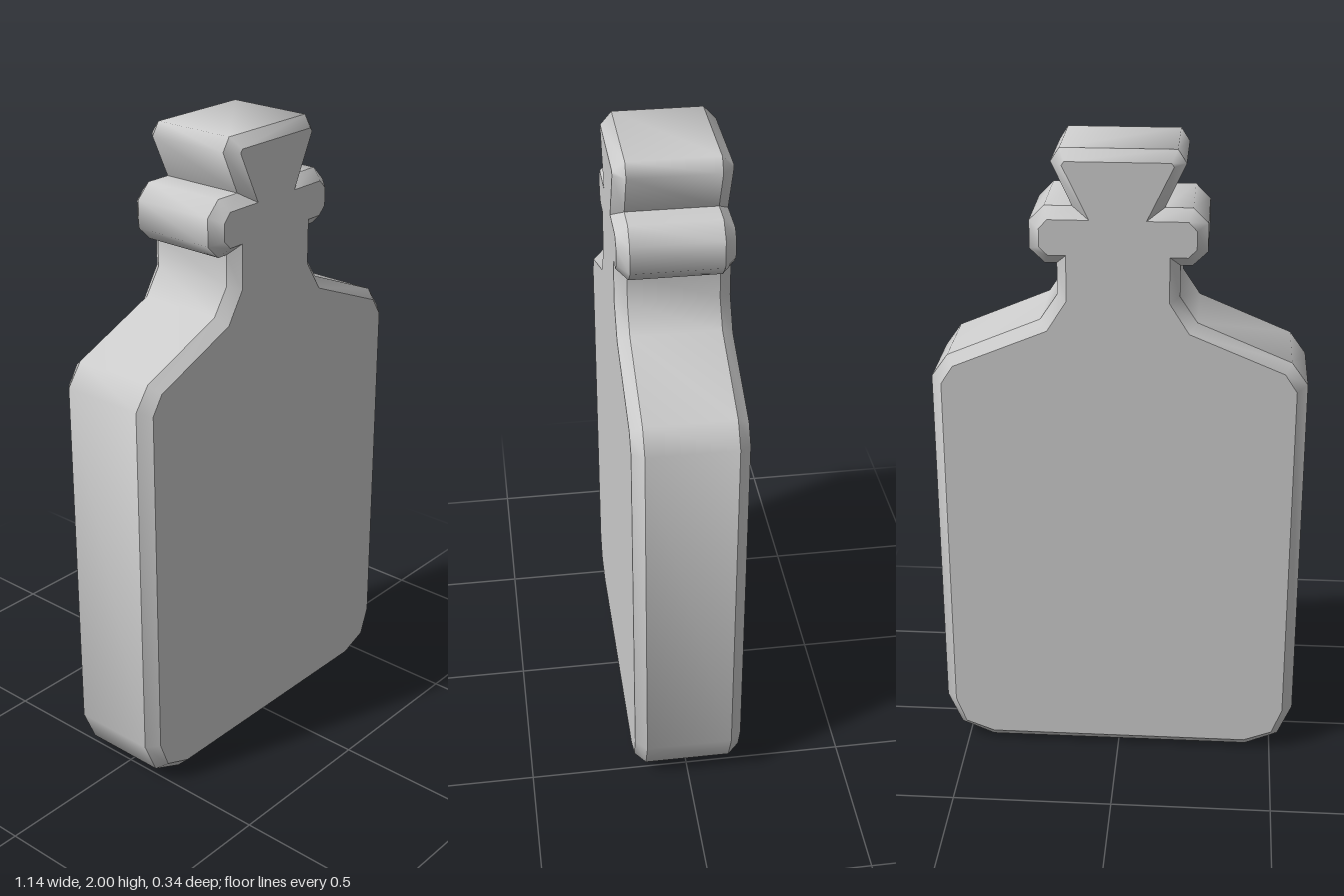
import * as THREE from 'three';
import { mergeGeometries, toCreasedNormals } from 'three/addons/utils/BufferGeometryUtils.js';

// Right half of the silhouette, bottom to top: body, neck, collar, stopper
const OUTER = [
  [0.42, 0], [0.525, 0.045], [0.57, 0.15], [0.57, 1.29], [0.52, 1.36],
  [0.235, 1.48], [0.182, 1.56], [0.182, 1.657],
  [0.217, 1.657], [0.262, 1.70], [0.262, 1.785], [0.217, 1.83], [0.135, 1.83],
  [0.196, 1.96], [0.17, 2],
];
// The same corners on the flat front and back faces
const INNER = [
  [0.415, 0.035], [0.505, 0.07], [0.537, 0.155], [0.537, 1.278], [0.50, 1.335],
  [0.212, 1.455], [0.152, 1.55], [0.152, 1.69],
  [0.205, 1.69], [0.23, 1.715], [0.23, 1.77], [0.205, 1.797], [0.083, 1.797],
  [0.161, 1.957], [0.153, 1.968],
];
const FACE_Z = 0.17;
const RIM_Z = 0.135;

// Full counterclockwise outline from its right half
const mirror = (half) => [...half, ...half.map(([x, y]) => [-x, y]).reverse()];

// Band of quads joining two outlines, smooth along its gentle corners
function band(a, za, b, zb) {
  const pos = [];
  a.forEach((p, i) => {
    const j = (i + 1) % a.length;
    const A = [...p, za], B = [...a[j], za], C = [...b[j], zb], D = [...b[i], zb];
    pos.push(...A, ...B, ...C, ...A, ...C, ...D);
  });
  const g = new THREE.BufferGeometry();
  g.setAttribute('position', new THREE.Float32BufferAttribute(pos, 3));
  return toCreasedNormals(g, THREE.MathUtils.degToRad(62));
}

export function createModel() {
  const group = new THREE.Group();
  group.name = 'bottle';
  const material = new THREE.MeshStandardMaterial({ color: 0xcccccc });
  const add = (name, geometry) => {
    const mesh = new THREE.Mesh(geometry, material);
    mesh.name = name;
    group.add(mesh);
  };
  const outer = mirror(OUTER);
  const inner = mirror(INNER);

  // Side wall and the chamfers around both faces
  add('sideWall', band(outer, -RIM_Z, outer, RIM_Z));
  add('chamfers', mergeGeometries([
    band(outer, RIM_Z, inner, FACE_Z),
    band(inner, -FACE_Z, outer, -RIM_Z),
  ]));

  // Flat front and back
  const shape = new THREE.Shape(inner.map(([x, y]) => new THREE.Vector2(x, y)));
  add('frontFace', new THREE.ShapeGeometry(shape).translate(0, 0, FACE_Z));
  add('backFace', new THREE.ShapeGeometry(shape).translate(0, 0, FACE_Z).rotateY(Math.PI));
  return group;
}
